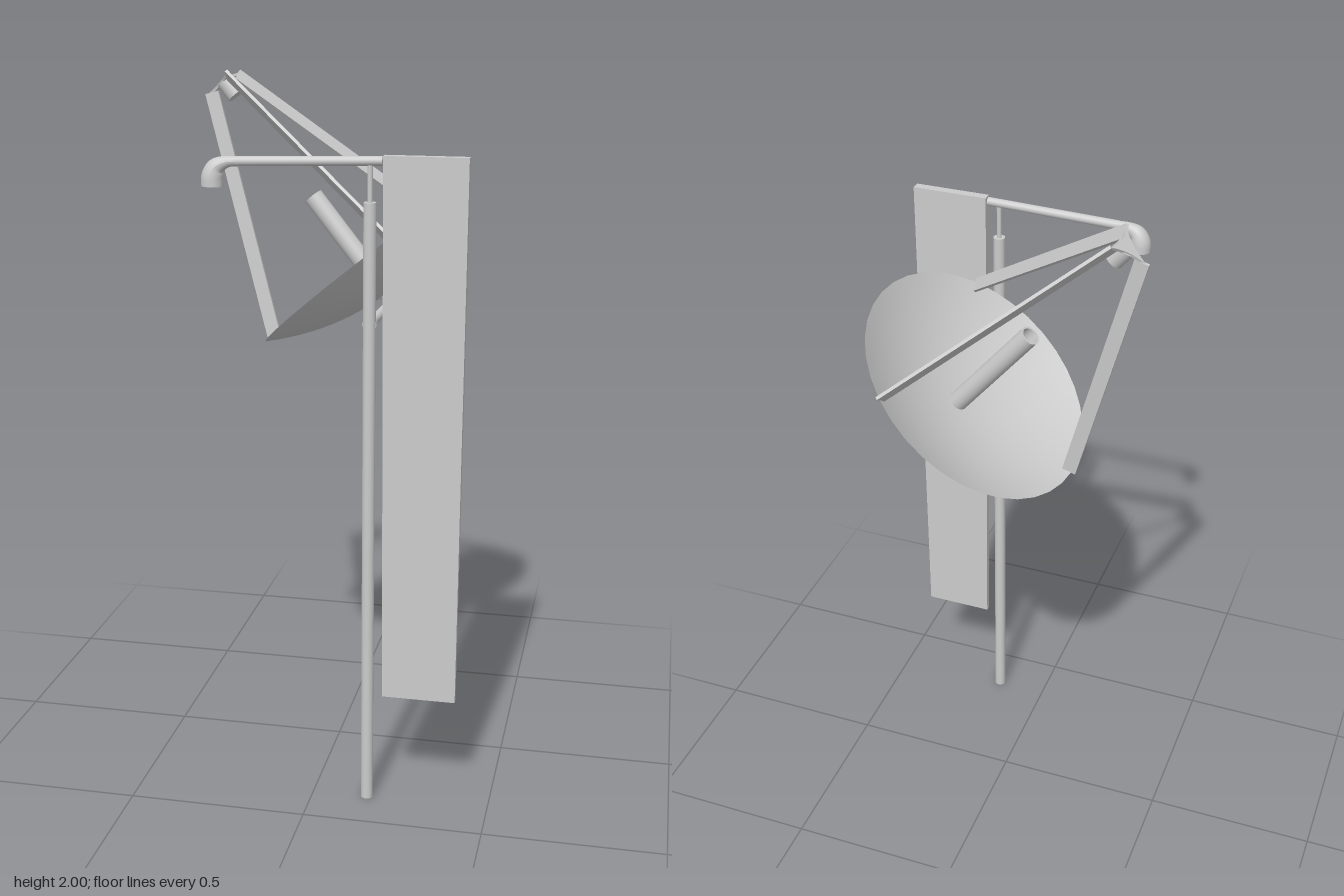
import * as THREE from 'three';

const V = (x, y, z) => new THREE.Vector3(x, y, z);
const grey = new THREE.MeshStandardMaterial({ color: 0xcccccc });
const greyThin = new THREE.MeshStandardMaterial({ color: 0xcccccc, side: THREE.DoubleSide });

function add(parent, name, geometry, material = grey) {
  const mesh = new THREE.Mesh(geometry, material);
  mesh.name = name;
  parent.add(mesh);
  return mesh;
}

// Cylinder between two points
function rod(parent, name, a, b, r0, r1 = r0, sides = 20) {
  const mesh = add(parent, name, new THREE.CylinderGeometry(r1, r0, a.distanceTo(b), sides));
  mesh.position.copy(a).lerp(b, 0.5);
  mesh.quaternion.setFromUnitVectors(V(0, 1, 0), b.clone().sub(a).normalize());
  return mesh;
}

// Tube along a curve whose radius follows a rule
function taperedTube(curve, steps, sides, radiusAt) {
  const g = new THREE.TubeGeometry(curve, steps, 1, sides);
  const p = g.attributes.position, v = V(0, 0, 0);
  for (let i = 0; i < p.count; i++) {
    const t = Math.floor(i / (sides + 1)) / steps;
    const c = curve.getPointAt(t);
    v.fromBufferAttribute(p, i).sub(c).multiplyScalar(radiusAt(t)).add(c);
    p.setXYZ(i, v.x, v.y, v.z);
  }
  g.computeVertexNormals();
  return g;
}

function buildDish() {
  const dish = new THREE.Group();
  dish.name = 'dishAssembly';
  const R = 0.3585, depth = 0.1, plateY = 0.757;
  const armAngles = [Math.PI, Math.PI / 3, -Math.PI / 3];

  // Shallow parabolic reflector
  const bowl = [];
  for (let i = 0; i <= 12; i++) bowl.push(new THREE.Vector2(R * i / 12, depth * (i / 12) ** 2));
  add(dish, 'reflector', new THREE.LatheGeometry(bowl, 36), greyThin);

  // Hollow feed tube standing on the bowl's centre
  const wall = [[0.028, 0], [0.028, 0.346], [0.028, 0.346], [0.022, 0.346], [0.022, 0.346], [0.022, 0.01], [0, 0.01]];
  add(dish, 'feedTube', new THREE.LatheGeometry(wall.map(([x, y]) => new THREE.Vector2(x, y)), 24), greyThin);

  // Three flat struts from the rim to the apex
  const inner = V(0.052, plateY, 0), outer = V(0.352, depth - 0.005, 0);
  for (const angle of armAngles) {
    const pivot = new THREE.Group();
    pivot.name = 'strut';
    pivot.rotation.y = angle;
    const bar = add(pivot, 'strutBar', new THREE.BoxGeometry(inner.distanceTo(outer), 0.04, 0.009));
    bar.position.copy(inner).lerp(outer, 0.5);
    bar.rotation.z = Math.atan2(outer.y - inner.y, outer.x - inner.x);
    dish.add(pivot);
  }

  // Three-pointed apex plate with hollowed sides
  const at = (r, a) => [r * Math.cos(a), r * Math.sin(a)];
  const plate = new THREE.Shape();
  plate.moveTo(...at(0.064, Math.PI / 3));
  for (let i = 1; i <= 3; i++) {
    const a = Math.PI / 3 + i * Math.PI * 2 / 3;
    plate.quadraticCurveTo(...at(0.012, a - Math.PI / 3), ...at(0.064, a));
  }
  const plateGeo = new THREE.ExtrudeGeometry(plate, { depth: 0.008, bevelEnabled: false, curveSegments: 8 });
  plateGeo.rotateX(-Math.PI / 2).translate(0, plateY - 0.004, 0);
  add(dish, 'apexPlate', plateGeo);
  rod(dish, 'apexReceiver', V(0, 0.705, 0), V(0, plateY, 0), 0.027, 0.027, 24);

  // Aim the dish
  const y = V(-0.635, 0.767, -0.08).normalize();
  const z = V(0, 0, 1).addScaledVector(y, -y.z).normalize();
  const x = V(0, 0, 0).crossVectors(y, z);
  dish.quaternion.setFromRotationMatrix(new THREE.Matrix4().makeBasis(x, y, z));
  dish.position.set(0.1315, 1.383, -0.029);
  return dish;
}

export function createModel() {
  const model = new THREE.Group();
  model.name = 'streetPole';
  const px = 0.155, pz = 0.362;

  // Pole with a thin upper mast
  rod(model, 'pole', V(px, 0, pz), V(px, 1.7, pz), 0.017);
  rod(model, 'mast', V(px, 1.69, pz), V(px, 1.805, pz), 0.007, 0.007, 12);

  // Hanging banner panel, a little slimmer at the foot
  const panelGeo = new THREE.BoxGeometry(0.22, 1.5, 0.026);
  const p = panelGeo.attributes.position;
  for (let i = 0; i < p.count; i++) {
    if (p.getY(i) < 0) p.setXYZ(i, p.getX(i) * 0.93, p.getY(i), p.getZ(i) * 0.7);
  }
  panelGeo.computeVertexNormals();
  add(model, 'panel', panelGeo).position.set(0.3, 1.07, pz - 0.002);

  // Lamp arm ending in a flared head that bends down
  rod(model, 'lampArm', V(0.188, 1.806, pz), V(-0.2, 1.796, pz), 0.012, 0.013);
  const bend = new THREE.CatmullRomCurve3([
    V(-0.19, 1.796, pz), V(-0.225, 1.793, pz), V(-0.252, 1.779, pz), V(-0.262, 1.755, pz), V(-0.263, 1.73, pz),
  ]);
  add(model, 'lampHead', taperedTube(bend, 20, 20, t => 0.013 + 0.016 * THREE.MathUtils.smoothstep(t, 0.1, 0.85)), greyThin);
  const lens = add(model, 'lampLens', new THREE.CircleGeometry(0.029, 20), greyThin);
  lens.rotation.x = Math.PI / 2;
  lens.position.set(-0.263, 1.731, pz);

  // Bracket arm carrying the dish
  rod(model, 'bracketCollar', V(px, 1.38, pz), V(px, 1.38, 0.325), 0.019, 0.016);
  rod(model, 'bracketArm', V(px, 1.38, 0.34), V(px, 1.365, -0.02), 0.012, 0.015);
  rod(model, 'dishMount', V(0.128, 1.387, -0.03), V(0.168, 1.35, -0.024), 0.025, 0.021);

  model.add(buildDish());
  return model;
}
